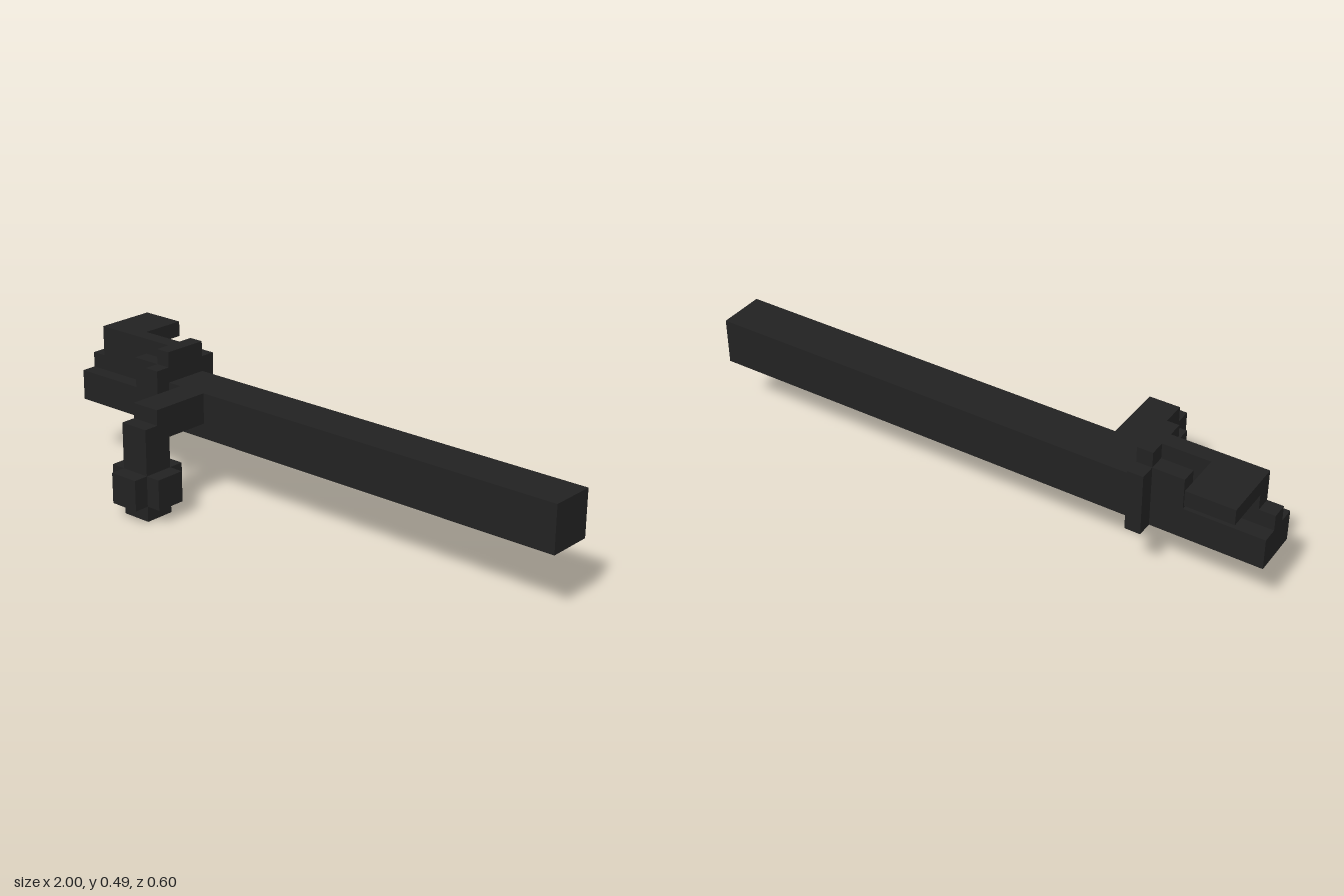
import * as THREE from 'three';

export function createModel() {
  const model = new THREE.Group();
  const blackSteel = new THREE.MeshStandardMaterial({ color: 0x222222 });
  blackSteel.name = 'blackSteel';

  // Box given by its extents along each axis
  function block(parent, name, [x0, x1], [y0, y1], [z0, z1]) {
    const mesh = new THREE.Mesh(new THREE.BoxGeometry(x1 - x0, y1 - y0, z1 - z0), blackSteel);
    mesh.name = name;
    mesh.position.set((x0 + x1) / 2, (y0 + y1) / 2, (z0 + z1) / 2);
    parent.add(mesh);
  }
  function part(name) {
    const group = new THREE.Group();
    group.name = name;
    model.add(group);
    return group;
  }

  // Long square bolt body
  block(model, 'boltBody', [-0.622, 1], [0.217, 0.379], [-0.19, -0.028]);

  // Stepped rear end
  const rear = part('rearEnd');
  block(rear, 'rearBase', [-1, -0.622], [0.217, 0.325], [-0.19, -0.028]);
  block(rear, 'rearRidge', [-1, -0.622], [0.325, 0.379], [-0.136, -0.082]);
  block(rear, 'rearShoulder', [-0.73, -0.622], [0.325, 0.433], [-0.19, -0.028]);

  // Collar around the body
  const collar = part('collar');
  block(collar, 'collarSides', [-0.622, -0.568], [0.217, 0.433], [-0.244, 0.027]);
  block(collar, 'collarTop', [-0.622, -0.568], [0.433, 0.487], [-0.19, -0.028]);

  // Safety lever: upright web with a flag towards the back
  const lever = part('safetyLever');
  block(lever, 'leverWeb', [-0.946, -0.622], [0.379, 0.487], [-0.136, -0.082]);
  block(lever, 'leverFlag', [-0.946, -0.784], [0.433, 0.487], [-0.298, -0.136]);

  // Bent handle
  const handle = part('handle');
  block(handle, 'handleArm', [-0.514, -0.406], [0.271, 0.379], [-0.028, 0.19]);
  block(handle, 'handleStem', [-0.514, -0.406], [0, 0.325], [0.136, 0.244]);

  // Cross-shaped knob
  const knob = part('knob');
  block(knob, 'knobAcross', [-0.568, -0.352], [0.055, 0.163], [0.136, 0.244]);
  block(knob, 'knobFrontBack', [-0.514, -0.406], [0.055, 0.163], [0.082, 0.298]);

  return model;
}
